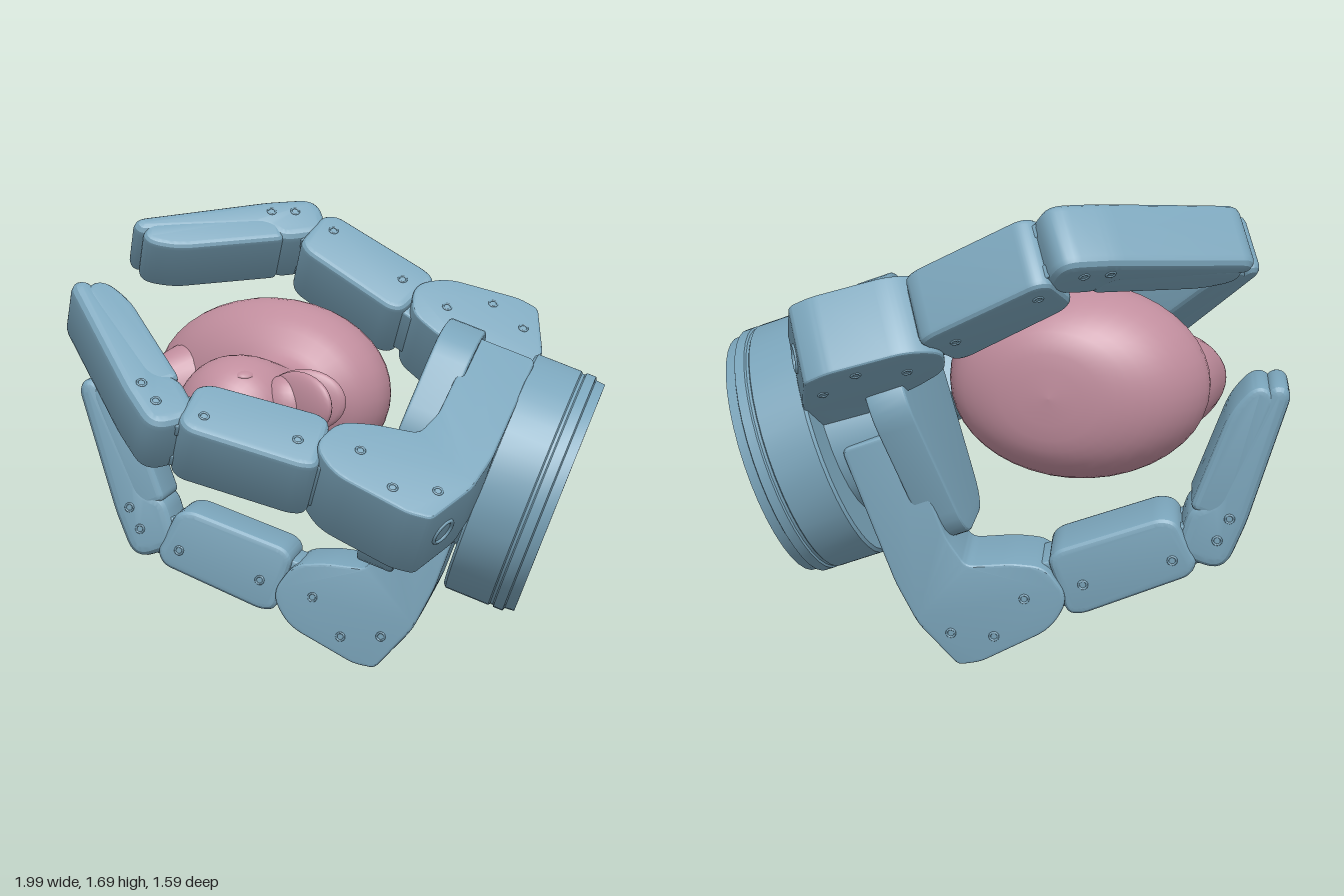
import * as THREE from 'three';
import { toCreasedNormals } from 'three/addons/utils/BufferGeometryUtils.js';

const V = (x, y, z) => new THREE.Vector3(x, y, z);
const steel = new THREE.MeshStandardMaterial({ color: 0x7ba5bb });
const pink = new THREE.MeshStandardMaterial({ color: 0xc08d9d });

function add(parent, name, geometry, material = steel, pos = [0, 0, 0]) {
  const mesh = new THREE.Mesh(geometry, material);
  mesh.name = name;
  mesh.position.set(...pos);
  parent.add(mesh);
  return mesh;
}

// Polygon with rounded corners; each point is [x, y, corner cut]
function roundedShape(points) {
  const shape = new THREE.Shape(), n = points.length;
  points.forEach(([x, y, c = 0.03], i) => {
    const p = new THREE.Vector2(x, y);
    const toward = q => {
      const d = new THREE.Vector2(q[0], q[1]).sub(p);
      return p.clone().addScaledVector(d, Math.min(c / d.length(), 0.49));
    };
    const from = toward(points[(i + n - 1) % n]), to = toward(points[(i + 1) % n]);
    if (i) shape.lineTo(from.x, from.y); else shape.moveTo(from.x, from.y);
    shape.quadraticCurveTo(x, y, to.x, to.y);
  });
  shape.closePath();
  return shape;
}

// Bevelled slab of a given thickness, centred on z = 0
function slab(points, width, bevel = 0.02) {
  const g = new THREE.ExtrudeGeometry(roundedShape(points), {
    depth: width - 2 * bevel, bevelSize: bevel, bevelThickness: bevel, bevelOffset: -bevel,
    bevelSegments: 3, curveSegments: 6,
  });
  g.translate(0, 0, bevel - width / 2);
  return toCreasedNormals(g, 0.5);
}

// Small raised screw rings on both side faces
function screws(parent, spots, width) {
  for (const [x, y] of spots) for (const side of [-1, 1]) {
    add(parent, 'screw', new THREE.TorusGeometry(0.015, 0.004, 6, 14), steel, [x, y, side * width / 2]);
  }
}

// Smooth loft through ellipses [z, centre x, centre y, radius x, radius y]
function loft(sections, sides = 40, steps = 48) {
  const at = k => new THREE.SplineCurve(sections.map(s => new THREE.Vector2(s[0], s[k])));
  const curves = [1, 2, 3, 4].map(at);
  const pos = [], index = [];
  for (let i = 0; i <= steps; i++) {
    const [cx, cy, rx, ry] = curves.map(c => c.getPoint(i / steps).y);
    const z = curves[0].getPoint(i / steps).x;
    for (let j = 0; j < sides; j++) {
      const t = j / sides * Math.PI * 2;
      pos.push(cx + Math.max(rx, 0) * Math.cos(t), cy + Math.max(ry, 0) * Math.sin(t), z);
      if (i < steps) {
        const a = i * sides + j, b = i * sides + (j + 1) % sides;
        index.push(a, b, b + sides, a, b + sides, a + sides);
      }
    }
  }
  const g = new THREE.BufferGeometry();
  g.setAttribute('position', new THREE.Float32BufferAttribute(pos, 3));
  g.setIndex(index);
  g.computeVertexNormals();
  return g;
}

// Hand axis, pointing from the base toward the fingertips
const axis = V(-0.925, 0.34, 0.16).normalize();

function makePalm() {
  const palm = new THREE.Group();
  palm.name = 'palm';
  const up = V(0.34, 0.94, 0);
  up.addScaledVector(axis, -up.dot(axis)).normalize();
  palm.quaternion.setFromRotationMatrix(
    new THREE.Matrix4().makeBasis(up, axis, up.clone().cross(axis)));
  palm.position.set(0.84, 0.69, -0.28);
  const profile = [[0, 0], [0.44, 0], [0.443, 0.035], [0.455, 0.04], [0.455, 0.075], [0.448, 0.08],
    [0.448, 0.09], [0.455, 0.095], [0.455, 0.26], [0.445, 0.27], [0, 0.27]];
  add(palm, 'wristDrum', toCreasedNormals(new THREE.LatheGeometry(
    profile.map(p => new THREE.Vector2(...p)), 40), 0.4));
  add(palm, 'palmColumn', toCreasedNormals(new THREE.CylinderGeometry(0.27, 0.3, 0.24, 24), 0.5),
    steel, [0, 0.37, 0]);
  const outline = [[0.48, 0.07], [0.47, -0.22], [0.12, -0.43], [-0.46, -0.22], [-0.46, 0.22], [0.12, 0.41]];
  const plate = slab(outline.map(p => [...p, 0.12]), 0.14, 0.012);
  plate.rotateX(-Math.PI / 2);
  add(palm, 'palmPlate', plate, steel, [0, 0.53, 0]);
  return palm;
}

// Finger frame: x along the hand axis, y radially outward, origin at the first joint
function makeFinger(name, origin, outward, knee, tip) {
  const finger = new THREE.Group();
  finger.name = name;
  const r = outward.addScaledVector(axis, -outward.dot(axis)).normalize();
  finger.quaternion.setFromRotationMatrix(
    new THREE.Matrix4().makeBasis(axis, r, axis.clone().cross(r)));
  finger.position.copy(origin);

  // Knuckle housing with its arm reaching under the palm plate
  add(finger, 'knuckle', slab([[-0.46, -0.72], [-0.46, -0.2], [-0.44, -0.03], [-0.36, 0.165, 0.02],
    [-0.28, 0.18], [0.0, 0.14, 0.06], [0.1, 0.05, 0.06], [0.06, -0.09, 0.05], [-0.05, -0.14],
    [-0.2, -0.18], [-0.23, -0.3], [-0.23, -0.72]], 0.295, 0.012));
  screws(finger, [[-0.34, 0.04], [-0.2, 0.1], [-0.05, 0.0]], 0.295);
  const port = add(finger, 'cablePort', new THREE.TorusGeometry(0.045, 0.008, 8, 24), steel, [-0.4, 0.067, 0]);
  port.rotation.set(0, -Math.PI / 2, -0.4, 'ZYX');

  // Inner link
  const inner = new THREE.Group();
  inner.name = 'innerLink';
  inner.rotation.z = Math.atan2(knee[1], knee[0]);
  finger.add(inner);
  const len = Math.hypot(...knee);
  add(inner, 'innerBody', slab([[0.07, -0.1], [0.07, 0.11], [0.12, 0.13], [len - 0.1, 0.11],
    [len - 0.06, 0.07], [len - 0.08, -0.1], [len - 0.13, -0.13], [0.11, -0.13]], 0.26, 0.025));
  screws(inner, [[0.16, 0.02], [len - 0.14, 0.03]], 0.26);
  for (const side of [-1, 1]) {
    add(inner, 'forkArm', slab([[len - 0.18, -0.07], [len - 0.18, 0.08], [len + 0.05, 0.08, 0.06],
      [len + 0.05, -0.07, 0.06]], 0.05, 0.008), steel, [0, 0, side * 0.075]);
  }
  add(inner, 'rootTongue', slab([[-0.05, -0.09], [-0.05, 0.09], [0.12, 0.09], [0.12, -0.09]], 0.2, 0.01));

  // Fingertip link, bent back over the palm
  const outer = new THREE.Group();
  outer.name = 'fingertip';
  const dx = tip[0] - knee[0], dy = tip[1] - knee[1], L = Math.hypot(dx, dy);
  outer.position.set(knee[0], knee[1], 0);
  outer.rotation.z = Math.atan2(dy, dx);
  finger.add(outer);
  add(outer, 'fingertipShell', slab([[-0.1, -0.09, 0.07], [-0.1, 0.1, 0.08], [0.1, 0.105],
    [L, 0.075, 0.03], [L + 0.03, 0.04], [L + 0.01, -0.005], [0.14, -0.03], [0.09, -0.1, 0.05]], 0.24, 0.035));
  add(outer, 'fingertipPad', slab([[0.08, -0.1], [0.08, 0.04], [L - 0.03, 0.04], [L + 0.005, -0.02],
    [L - 0.02, -0.065, 0.04], [L - 0.12, -0.1, 0.05]], 0.236, 0.025));
  screws(outer, [[0.01, 0.03], [0.1, 0.04]], 0.24);
  return finger;
}

function makeDuck() {
  const duck = new THREE.Group();
  duck.name = 'toyDuck';
  // Body, neck and head in one smooth skin
  add(duck, 'bodyAndHead', loft([
    [-0.52, -0.22, 1.03, 0, 0], [-0.5, -0.22, 1.03, 0.2, 0.17], [-0.43, -0.23, 1.025, 0.35, 0.27],
    [-0.32, -0.25, 1.025, 0.43, 0.33], [-0.2, -0.26, 1.025, 0.455, 0.342], [-0.1, -0.24, 1.025, 0.4, 0.3],
    [-0.03, -0.2, 1.03, 0.3, 0.23], [0.03, -0.135, 1.03, 0.175, 0.165], [0.09, -0.115, 1.03, 0.145, 0.15],
    [0.15, -0.15, 1.03, 0.18, 0.175], [0.23, -0.17, 1.03, 0.208, 0.2], [0.31, -0.18, 1.03, 0.21, 0.205],
    [0.4, -0.18, 1.03, 0.18, 0.175], [0.47, -0.18, 1.03, 0.1, 0.1], [0.495, -0.18, 1.03, 0, 0]]), pink);
  // Broad upturned tail
  add(duck, 'tail', loft([[-0.3, -0.4, 1.02, 0.26, 0.22], [-0.15, -0.48, 1.01, 0.235, 0.21],
    [-0.03, -0.585, 1, 0.145, 0.16], [0.05, -0.65, 0.99, 0.078, 0.1], [0.1, -0.665, 0.99, 0.045, 0.06],
    [0.125, -0.667, 0.99, 0, 0]], 28, 24), pink);
  // Open bill, flaring from one thick root
  const root = add(duck, 'billRoot', new THREE.SphereGeometry(1, 24, 16), pink, [0.01, 1.07, 0.3]);
  root.scale.set(0.1, 0.11, 0.085);
  for (const [name, z, tilt] of [['upperBill', 0.325, -0.33], ['lowerBill', 0.268, 0.12]]) {
    const bill = add(duck, name, new THREE.SphereGeometry(1, 24, 16), pink, [0.07, 1.09, z]);
    bill.scale.set(0.145, 0.11, 0.035);
    bill.rotation.y = tilt;
  }
  // Eyes, nearly flush with the head
  for (const side of [-1, 1]) {
    const eye = add(duck, 'eye', new THREE.SphereGeometry(0.045, 16, 12), pink,
      [-0.12, 1.03 + side * 0.15, 0.37]);
    eye.scale.y = 0.5;
  }
  return duck;
}

export function createModel() {
  const model = new THREE.Group();
  model.name = 'gripperHoldingDuck';
  model.add(
    makePalm(),
    makeFinger('lowerFinger', V(-0.125, 0.285, -0.245), V(-0.34, -0.97, 0.1), [0.625, 0.005], [1.0, -0.44]),
    makeFinger('frontFinger', V(0.27, 0.888, 0.473), V(-0.04, -0.5, 0.85), [0.613, 0.095], [1.065, -0.295]),
    makeFinger('backFinger', V(0.25, 1.245, -0.525), V(0.04, 0.57, -0.81), [0.61, 0.18], [1.105, -0.175]),
    makeDuck());
  return model;
}
